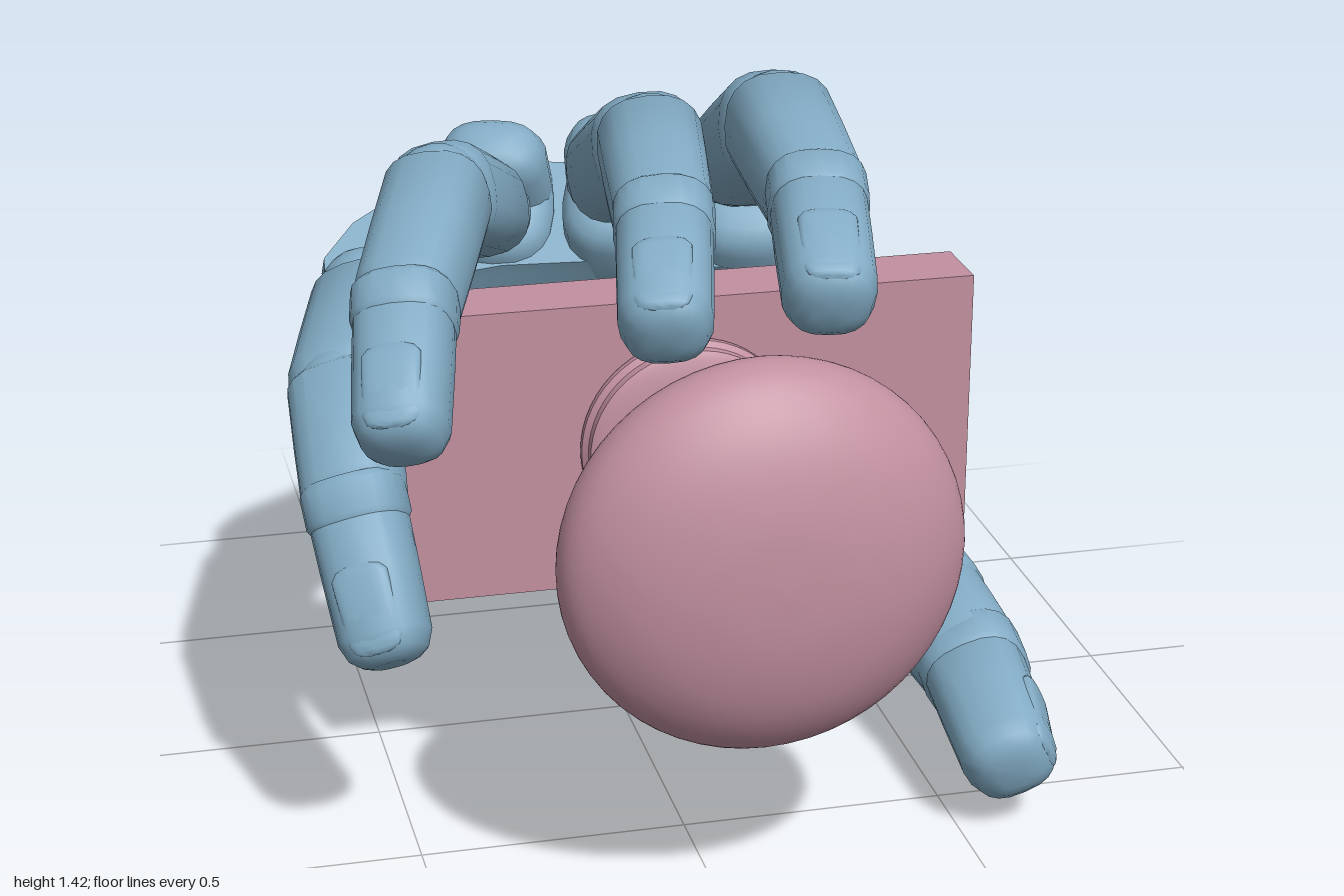
import * as THREE from 'three';
import { toCreasedNormals } from 'three/addons/utils/BufferGeometryUtils.js';

const V = (x, y, z) => new THREE.Vector3(x, y, z);
const blue = new THREE.MeshStandardMaterial({ color: 0x82abc4 });
const pink = new THREE.MeshStandardMaterial({ color: 0xc290a0 });

function add(parent, name, geometry, material) {
  const mesh = new THREE.Mesh(geometry, material);
  mesh.name = name;
  parent.add(mesh);
  return mesh;
}

// Skin joining equal rings of points, closed at both ends
function loft(rings, crease = 0.7) {
  const n = rings[0].length, pos = [], idx = [];
  rings.forEach(r => r.forEach(p => pos.push(p.x, p.y, p.z)));
  for (let i = 0; i < rings.length - 1; i++) {
    for (let j = 0; j < n; j++) {
      const a = i * n + j, b = i * n + (j + 1) % n;
      idx.push(a, b, a + n, b, b + n, a + n);
    }
  }
  [0, rings.length - 1].forEach(k => {
    const c = rings[k].reduce((s, p) => s.add(p), V(0, 0, 0)).divideScalar(n);
    const centre = pos.length / 3;
    pos.push(c.x, c.y, c.z);
    for (let j = 0; j < n; j++) {
      const a = k * n + j, b = k * n + (j + 1) % n;
      if (k) idx.push(a, b, centre); else idx.push(b, a, centre);
    }
  });
  const g = new THREE.BufferGeometry();
  g.setAttribute('position', new THREE.Float32BufferAttribute(pos, 3));
  g.setIndex(idx);
  return toCreasedNormals(g, crease);
}

const ROUND = [[0, 0.5], [0.04, 0.78], [0.12, 0.98], [0.5, 1], [0.85, 1], [0.94, 0.86], [0.98, 0.65], [1, 0.4]];

// Squarish tapered limb from a to b; ra and rb are [half width, half height]
function bone(a, b, up, ra, rb, profile = ROUND) {
  const dir = b.clone().sub(a).normalize();
  const side = up.clone().cross(dir).normalize();
  const top = dir.clone().cross(side);
  const soft = v => Math.sign(v) * Math.pow(Math.abs(v), 0.78);
  return loft(profile.map(([t, s]) => Array.from({ length: 20 }, (_, j) => {
    const ang = j / 20 * Math.PI * 2;
    const w = THREE.MathUtils.lerp(ra[0], rb[0], t) * s;
    const h = THREE.MathUtils.lerp(ra[1], rb[1], t) * s;
    return a.clone().lerp(b, t)
      .addScaledVector(side, soft(Math.cos(ang)) * w)
      .addScaledVector(top, soft(Math.sin(ang)) * h);
  })));
}

// Chain of bones with joint balls, a collar and a nail on the last bone
function digit(parent, name, path, up, radii) {
  const g = new THREE.Group();
  g.name = name;
  parent.add(g);
  const pts = path.map(p => V(...p));
  const last = pts.length - 2;
  for (let i = 0; i <= last; i++) {
    const a = pts[i], b = pts[i + 1], r0 = radii[i], r1 = radii[i + 1];
    const dir = b.clone().sub(a).normalize();
    const start = a.clone().addScaledVector(dir, i ? -r0 * 0.45 : 0);
    const end = b.clone().addScaledVector(dir, i < last ? r1 * 0.45 : 0);
    add(g, 'fingerSegment' + (i + 1), bone(start, end, up, [r0, r0], [r1, r1]), blue);
    add(g, 'joint' + (i + 1), new THREE.SphereGeometry(r0 * 0.92, 18, 12), blue).position.copy(a);
    if (i === last) {
      const side = up.clone().cross(dir).normalize(), top = dir.clone().cross(side);
      const at = (t, h) => a.clone().lerp(b, t).addScaledVector(top, h);
      add(g, 'nail', bone(at(0.42, r0 * 0.86), at(0.95, r1 * 0.72), up,
        [r0 * 0.6, r0 * 0.16], [r1 * 0.62, r1 * 0.2]), blue);
      add(g, 'collar', bone(at(-0.12, 0), at(0.16, 0), up, [r0 * 1.02, r0 * 1.02],
        [r0 * 1.02, r0 * 1.02], [[0, 0.9], [0.15, 1], [0.85, 1], [1, 0.92]]), blue);
    }
  }
}

function buildPalm() {
  // Local axes: x across the hand, y toward the fingers, z out of the inner palm
  const palm = new THREE.Group();
  palm.name = 'palm';
  const across = V(0.95, 0.01, 0.31).normalize();
  const inner = across.clone().cross(V(-0.207, 0.746, 0.632)).normalize();
  const along = inner.clone().cross(across);
  palm.quaternion.setFromRotationMatrix(new THREE.Matrix4().makeBasis(across, along, inner));
  palm.position.set(0.4, 1.1, -0.12);

  // Main shell, thicker toward the wrist, its back rounded over at the wrist end
  const shell = [[-0.99, 0.55], [-0.96, 0.82], [-0.9, 1], [-0.65, 1], [-0.4, 1], [-0.2, 1], [-0.13, 1], [-0.1, 0.92]];
  add(palm, 'palmShell', loft(shell.map(([u, s]) => {
    const w = -u;
    return [[0, 0.06], [-0.04, -0.03], [-0.1, -0.05], [-0.6, -0.05], [-0.7, -0.03], [-0.8, 0.06],
      [-0.84, 0.2 + 0.15 * w], [-0.8, 0.22 + 0.33 * w], [-0.6, 0.18 + 0.27 * w],
      [-0.35, 0.17 + 0.18 * w], [-0.12, 0.19 + 0.15 * w], [-0.01, 0.17 + 0.12 * w]]
      .map(([x, m]) => V(x, u, 0.17 + (m - 0.17) * (m < 0.17 ? s : 0.85 + 0.15 * s)));
  }), 0.6), blue);

  // Folded strip behind the little finger
  const strip = [[-0.78, 0.92], [-0.75, 1], [-0.5, 1], [-0.14, 1], [-0.08, 0.9]];
  add(palm, 'sidePlate', loft(strip.map(([u, s]) => {
    const w = -u;
    return [[-0.7, 0.0], [-0.76, 0.0], [-0.91, 0.12], [-0.965, 0.21], [-0.95, 0.32 - 0.04 * w],
      [-0.88, 0.4 - 0.06 * w], [-0.78, 0.38 - 0.04 * w], [-0.7, 0.22]]
      .map(([x, m]) => V(-0.83 + (x + 0.83) * s, u, 0.2 + (m - 0.2) * s));
  }), 0.6), blue);

  // Rounded lobes flush with the back, and deeper housings under them
  [[-0.12, 0.115], [-0.37, 0.12], [-0.62, 0.08]].forEach(([x, u]) => {
    add(palm, 'knuckleLobe', bone(V(x, -0.35, 0.04), V(x, u, 0.03), V(0, 0, -1),
      [0.115, 0.085], [0.105, 0.075]), blue);
    add(palm, 'knuckleHousing', bone(V(x, -0.35, 0.09), V(x, u - 0.13, 0.085), V(0, 0, -1),
      [0.115, 0.13], [0.115, 0.115]), blue);
  });

  // Wrist hinge: narrow tabs flush with the back and one large disc
  [[-0.035, 0.14, -0.93, 0.1], [-0.2, 0.14, -0.93, 0.1], [-0.41, 0.2, -1.05, 0.17],
    [-0.64, 0.15, -0.93, 0.12], [-0.79, 0.15, -0.93, 0.14]].forEach(([x, r, u, m]) => {
    const tab = add(palm, 'wristTab', new THREE.CylinderGeometry(r, r, 0.065, 36), blue);
    tab.rotation.z = Math.PI / 2;
    tab.position.set(x, u, m);
  });
  const pin = add(palm, 'wristPin', new THREE.CylinderGeometry(0.05, 0.05, 0.75, 24), blue);
  pin.rotation.z = Math.PI / 2;
  pin.position.set(-0.41, -0.98, 0.13);

  // Thumb mount
  const mount = add(palm, 'thumbMount', new THREE.SphereGeometry(0.15, 24, 16), blue);
  mount.scale.set(0.9, 1.35, 1);
  mount.position.set(-0.1, -0.7, 0.2);
  return palm;
}

function buildKnob() {
  const knob = new THREE.Group();
  knob.name = 'doorKnob';
  add(knob, 'mountingPlate', new THREE.BoxGeometry(1.11, 0.56, 0.14), pink).position.set(0.045, 0.7, 0.235);
  // Flange, neck and mushroom head turned around z
  const base = [[0, 0.3], [0.2, 0.3], [0.205, 0.312], [0.205, 0.325], [0.195, 0.335], [0.195, 0.355], [0.18, 0.365],
    [0.13, 0.368], [0.113, 0.385]].map(p => new THREE.Vector2(...p));
  const head = new THREE.SplineCurve([[0.113, 0.4], [0.112, 0.5], [0.125, 0.565], [0.175, 0.63], [0.265, 0.71],
    [0.34, 0.78], [0.36, 0.835], [0.335, 0.895], [0.25, 0.955], [0.13, 0.99], [0, 1]]
    .map(p => new THREE.Vector2(...p))).getPoints(50);
  head[50].x = 0;
  const turned = toCreasedNormals(new THREE.LatheGeometry([...base, ...head], 56), 0.6);
  const body = add(knob, 'knob', turned, pink);
  body.rotation.x = Math.PI / 2;
  body.position.set(0.05, 0.7, 0);
  return knob;
}

export function createModel() {
  const model = new THREE.Group();
  model.name = 'handAndKnob';
  model.add(buildKnob());
  const hand = new THREE.Group();
  hand.name = 'hand';
  model.add(hand);
  hand.add(buildPalm());

  digit(hand, 'indexFinger', [[0.25, 1.1, -0.12], [0.2, 1.32, 0.36], [0.17, 1.295, 0.71], [0.12, 1.19, 0.98]],
    V(0, 1, 0.1), [0.1, 0.103, 0.085, 0.078]);
  digit(hand, 'middleFinger', [[0.01, 1.08, -0.14], [-0.03, 1.29, 0.34], [-0.09, 1.265, 0.69], [-0.15, 1.15, 0.95]],
    V(-0.1, 1, 0.1), [0.1, 0.1, 0.085, 0.078]);
  digit(hand, 'ringFinger', [[-0.22, 0.99, -0.24], [-0.39, 1.18, 0.2], [-0.51, 1.09, 0.54], [-0.56, 0.92, 0.77]],
    V(-0.3, 0.8, 0.4), [0.095, 0.1, 0.09, 0.08]);
  digit(hand, 'littleFinger', [[-0.47, 0.85, -0.22], [-0.58, 0.815, 0.23], [-0.595, 0.7, 0.45], [-0.565, 0.46, 0.63]],
    V(-0.4, 0.5, 0.7), [0.095, 0.1, 0.09, 0.08]);
  digit(hand, 'thumb', [[0.41, 0.45, -0.46], [0.525, 0.315, -0.08], [0.585, 0.24, 0.2], [0.6, 0.215, 0.38], [0.585, 0.135, 0.69]],
    V(0.9, 0.45, 0), [0.14, 0.12, 0.117, 0.102, 0.088]);
  return model;
}
